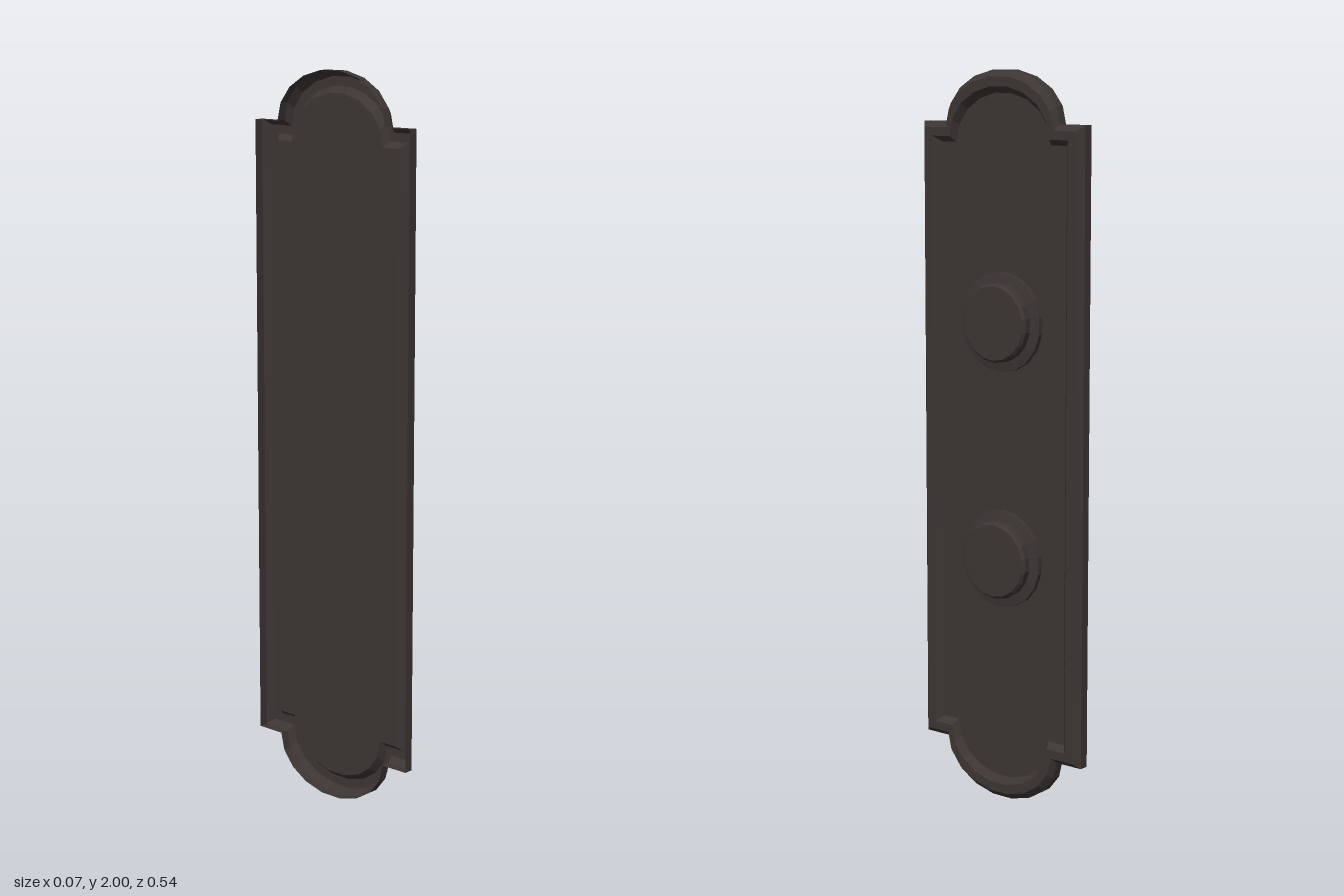
import * as THREE from 'three';

const bronze = new THREE.MeshStandardMaterial({ color: 0x3c3534, flatShading: true, side: THREE.DoubleSide });
bronze.name = 'dark bronze';

const ARC = 9;

// Plate outline, drawn inward by d: straight sides, shoulders and an arched end, repeated by a half turn
function outline(d) {
  const w = 0.272 - d, shoulder = 1.86 - 0.9 * d, a = 0.19 - 0.5 * d, h = 2 - d - shoulder;
  const half = [[w, shoulder]];
  for (let i = 0; i <= ARC; i++) {
    const t = (i / ARC) * Math.PI;
    half.push([a * Math.cos(t), shoulder + h * Math.sin(t)]);
  }
  half.push([-w, shoulder]);
  return [...half, ...half.map(([u, y]) => [-u, 2 - y])];
}

// Moulded rim: the outline swept through steps of [inset, depth]
function rimGeometry(steps) {
  const positions = [], indices = [];
  const n = outline(0).length;
  steps.forEach(([d, depth]) => outline(d).forEach(([u, y]) => positions.push(u, y, depth)));
  for (let r = 0; r < steps.length - 1; r++) {
    for (let i = 0; i < n; i++) {
      const j = (i + 1) % n, a = r * n + i, b = r * n + j;
      indices.push(a, b, b + n, a, b + n, a + n);
    }
  }
  const geometry = new THREE.BufferGeometry();
  geometry.setAttribute('position', new THREE.Float32BufferAttribute(positions, 3));
  geometry.setIndex(indices);
  geometry.computeVertexNormals();
  return geometry;
}

function addMesh(parent, geometry, name) {
  const mesh = new THREE.Mesh(geometry, bronze);
  mesh.name = name;
  parent.add(mesh);
  return mesh;
}

export function createModel() {
  const model = new THREE.Group();
  model.name = 'doorPlate';

  // The plate is shaped facing +z, then turned to face +x
  const plate = new THREE.Group();
  plate.name = 'plate';
  plate.rotation.y = Math.PI / 2;
  model.add(plate);

  // Open-backed rim with a bevelled outer edge and an inner step
  const panelInset = 0.06, panelDepth = -0.01;
  addMesh(plate, rimGeometry([
    [0, -0.034], [0, -0.008], [0.017, 0.01], [0.043, 0.01], [panelInset, panelDepth],
  ]), 'rim');

  // Sunken panel inside the rim
  const shape = new THREE.Shape(outline(panelInset).map(([u, y]) => new THREE.Vector2(u, y)));
  addMesh(plate, new THREE.ShapeGeometry(shape), 'panel').position.z = panelDepth;

  // Two round bosses, each with a low collar and a chamfered face
  const profile = [
    [0.135, panelDepth], [0.135, 0.003], [0.107, 0.008], [0.107, 0.026], [0.1, 0.034], [0, 0.034],
  ].map(([r, h]) => new THREE.Vector2(r, h));
  const bossGeometry = new THREE.LatheGeometry(profile, 18);
  bossGeometry.rotateX(Math.PI / 2);
  [['upperBoss', 1.333], ['lowerBoss', 0.684]].forEach(([name, y]) => {
    addMesh(plate, bossGeometry, name).position.y = y;
  });

  return model;
}
